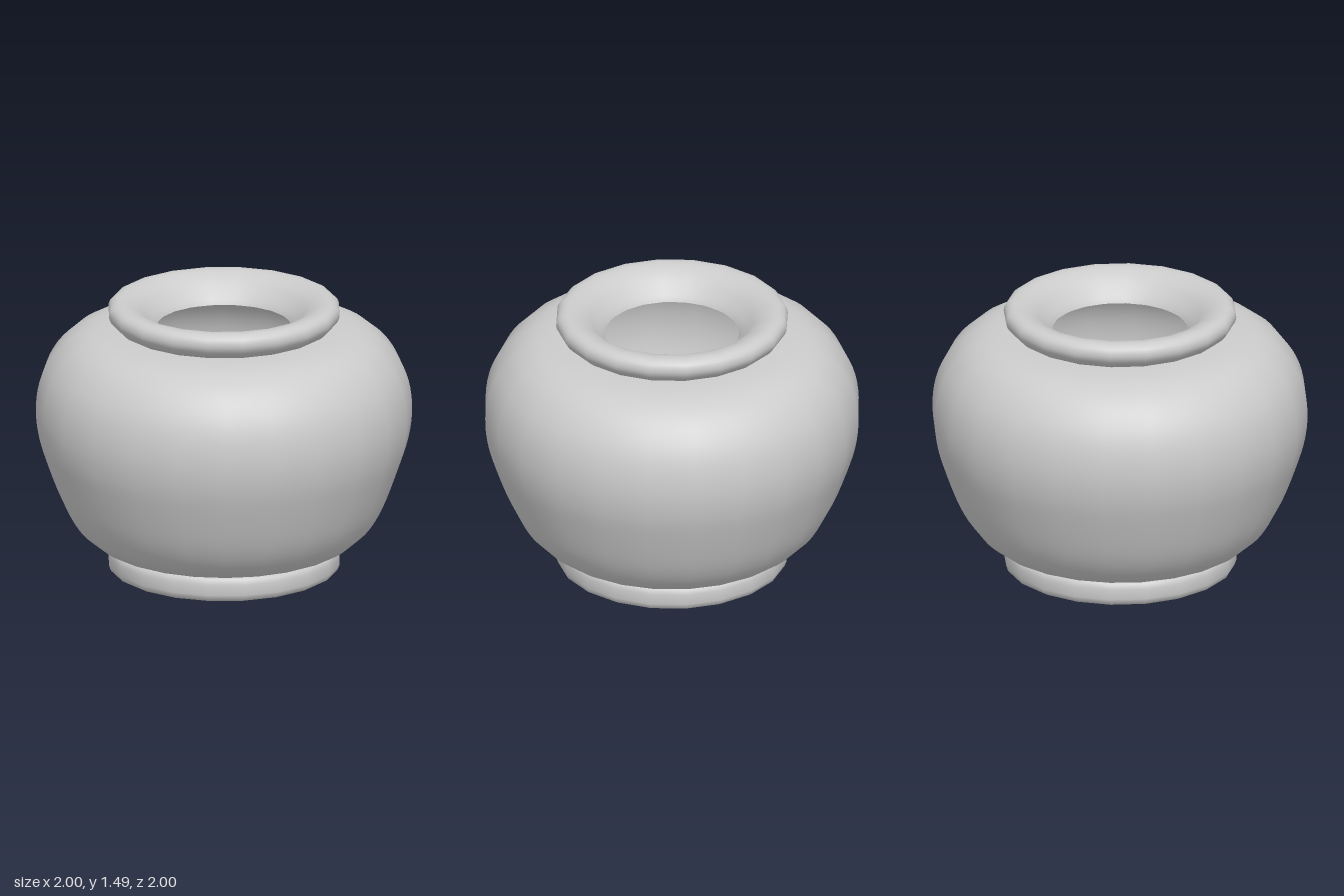
import * as THREE from 'three';

const material = new THREE.MeshStandardMaterial({ color: 0xcccccc, side: THREE.DoubleSide });
const flatMaterial = new THREE.MeshStandardMaterial({ color: 0xcccccc, flatShading: true });
const points = (list) => list.map(([r, y]) => new THREE.Vector2(r, y));

function turned(name, profile, sides) {
  const mesh = new THREE.Mesh(new THREE.LatheGeometry(profile, sides), material);
  mesh.name = name;
  return mesh;
}

export function createModel() {
  const pot = new THREE.Group();
  pot.name = 'pot';

  // Round belly, widest above the middle
  const belly = new THREE.SplineCurve(points([
    [0.54, 0.135], [0.65, 0.15], [0.73, 0.2], [0.8, 0.275], [0.87, 0.4], [0.945, 0.6],
    [0.985, 0.74], [1, 0.88], [0.985, 1.02], [0.94, 1.14], [0.86, 1.245],
    [0.76, 1.31], [0.65, 1.337], [0.54, 1.345],
  ])).getPoints(40);
  pot.add(turned('belly', belly, 24));

  // Inside wall and floor, a thin shell within the belly
  const inside = belly.map((p) => new THREE.Vector2(p.x - 0.05, 0.74 + (p.y - 0.74) * 0.93)).reverse();
  inside.unshift(new THREE.Vector2(0.36, 1.345));
  inside.push(new THREE.Vector2(0, 0.175));
  pot.add(turned('insideWall', inside, 24));

  // Rolled rim that slopes down into the mouth
  const rim = new THREE.SplineCurve(points([
    [0.52, 1.335], [0.57, 1.355], [0.608, 1.395], [0.62, 1.43], [0.61, 1.465], [0.575, 1.487],
    [0.52, 1.483], [0.46, 1.455], [0.41, 1.41], [0.375, 1.37], [0.36, 1.345],
  ])).getPoints(30);
  pot.add(turned('rim', rim, 20));

  // Foot ring with a flat underside
  const edge = [[0.59, 0], [0.61, 0.012], [0.62, 0.04], [0.62, 0.095], [0.61, 0.123], [0.59, 0.135]];
  pot.add(turned('foot', points([...edge, [0.5, 0.14]]), 20));
  const underside = new THREE.Mesh(new THREE.CircleGeometry(0.59, 20, Math.PI / 2), material);
  underside.name = 'underside';
  underside.rotation.x = Math.PI / 2;
  pot.add(underside);

  // Slim waisted figure lying on the floor, front to back
  const figure = new THREE.Group();
  figure.name = 'figureInside';
  const body = new THREE.LatheGeometry(points([
    [0, -0.35], [0.06, -0.335], [0.08, -0.28], [0.07, -0.22], [0.06, -0.1], [0.04, 0.02],
    [0.06, 0.12], [0.078, 0.2], [0.075, 0.28], [0.05, 0.32], [0.065, 0.35], [0, 0.39],
  ]), 8);
  const bodyMesh = new THREE.Mesh(body, flatMaterial);
  bodyMesh.name = 'figureBody';
  bodyMesh.rotation.x = Math.PI / 2;
  figure.add(bodyMesh);

  // Small pointed fin on its left side
  const fin = new THREE.Mesh(new THREE.ConeGeometry(0.04, 0.2, 4), flatMaterial);
  fin.name = 'figureFin';
  fin.position.set(0.12, 0, 0.2);
  fin.rotation.set(-Math.PI / 2, 0, -0.55);
  figure.add(fin);
  figure.position.y = 0.26;
  pot.add(figure);

  return pot;
}
